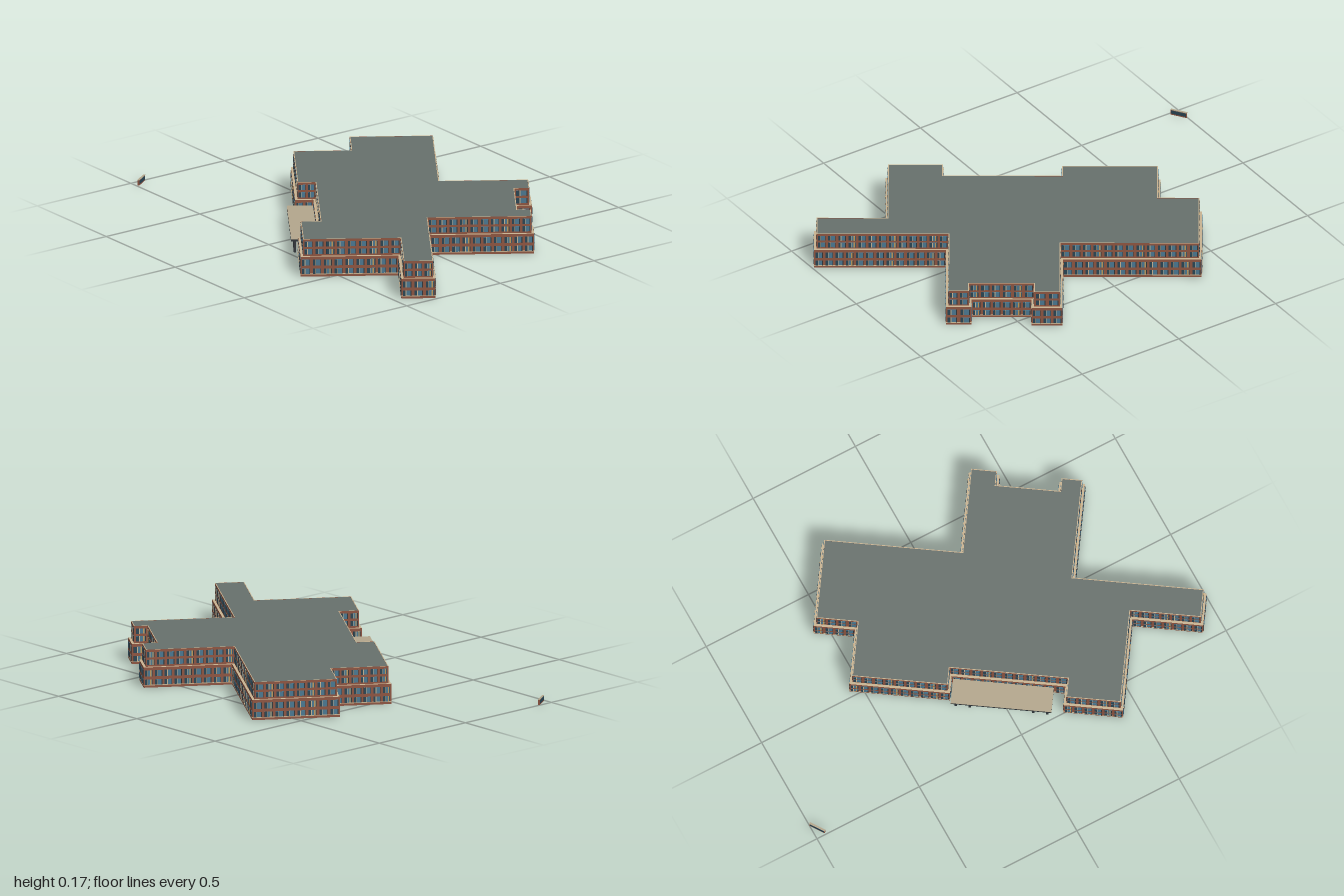
import * as THREE from 'three';
import { mergeGeometries } from 'three/addons/utils/BufferGeometryUtils.js';

const paint = (name, color) => {
  const m = new THREE.MeshStandardMaterial({ color });
  m.name = name;
  return m;
};

export function createModel() {
  const brick = paint('brick', 0x8f5541);
  const sandstone = paint('sandstone', 0xc8b391);
  const glass = paint('glass', 0x4a7891);
  const darkGlass = paint('darkGlass', 0x294453);
  const roofGrey = paint('roofGrey', 0x67706c);
  const canopyTan = paint('canopyTan', 0xb3a68c);
  const darkMetal = paint('darkMetal', 0x30363a);
  const warmShade = paint('warmShade', 0xc09a5c);

  const model = new THREE.Group();
  model.name = 'schoolBuilding';
  // the plan is drawn square, then turned on the site
  const site = new THREE.Group();
  site.name = 'building';
  site.rotation.y = -0.592;
  model.add(site);

  // plan outline, clockwise seen from above
  const plan = [
    [-0.655, -0.342], [-0.058, -0.342], [-0.058, -0.726], [0.075, -0.726],
    [0.075, -0.661], [0.334, -0.661], [0.334, -0.72], [0.444, -0.72],
    [0.444, -0.272], [1.012, -0.272], [1.012, -0.124], [0.706, -0.124],
    [0.706, 0.296], [0.449, 0.296], [0.449, 0.21], [-0.042, 0.21],
    [-0.042, 0.288], [-0.476, 0.288], [-0.476, 0.038], [-0.655, 0.038],
  ];

  const edgeOf = (pts, i) => {
    const a = pts[i], b = pts[(i + 1) % pts.length];
    const len = Math.hypot(b[0] - a[0], b[1] - a[1]);
    const t = [(b[0] - a[0]) / len, (b[1] - a[1]) / len];
    return { a, t, n: [t[1], -t[0]], len };
  };

  const inset = (d) => plan.map((p, i) => {
    const n1 = edgeOf(plan, (i + plan.length - 1) % plan.length).n;
    const n2 = edgeOf(plan, i).n;
    return [p[0] - d * (n1[0] + n2[0]), p[1] - d * (n1[1] + n2[1])];
  });

  const toPath = (pts, Kind) => new Kind(pts.map((p) => new THREE.Vector2(p[0], p[1])));

  // upright prism of the plan, optionally hollow
  function block(name, outer, inner, y0, y1, materials) {
    const shape = toPath(outer, THREE.Shape);
    if (inner) shape.holes.push(toPath(inner, THREE.Path));
    const g = new THREE.ExtrudeGeometry(shape, { depth: y1 - y0, bevelEnabled: false });
    g.rotateX(Math.PI / 2).translate(0, y1, 0);
    const mesh = new THREE.Mesh(g, materials);
    mesh.name = name;
    site.add(mesh);
  }

  function box(name, size, pos, material, parent = site) {
    const mesh = new THREE.Mesh(new THREE.BoxGeometry(...size), material);
    mesh.name = name;
    mesh.position.set(...pos);
    parent.add(mesh);
    return mesh;
  }

  // hollow lower storeys with a ledge, and the set-back upper storeys
  const upperPlan = inset(0.011);
  block('lowerWalls', plan, inset(0.014), 0, 0.09, [sandstone, brick]);
  block('upperWalls', upperPlan, null, 0.083, 0.164, [roofGrey, brick]);
  block('roofEdge', inset(0.0105), inset(0.014), 0.16, 0.166, [sandstone, brick]);
  block('roof', inset(0.0135), null, 0.16, 0.1655, roofGrey);
  // pale lining on the inside of the lower walls
  block('lowerLining', inset(0.0135), inset(0.016), 0.006, 0.04, sandstone);
  block('upperLining', inset(0.0135), inset(0.016), 0.047, 0.082, sandstone);

  // one row of windows around every wall
  function windowRow(name, pts, y0, y1, sill) {
    const parts = new Map([[glass, []], [darkGlass, []], [sandstone, []], [darkMetal, []], [warmShade, []]]);
    pts.forEach((_, i) => {
      const { a, t, n, len } = edgeOf(pts, i);
      const plate = (material, s, w, lo, hi, depth) => {
        const g = new THREE.BoxGeometry(w, hi - lo, depth);
        g.rotateY(Math.atan2(n[0], n[1]));
        g.translate(a[0] + t[0] * s, (lo + hi) / 2, a[1] + t[1] * s);
        parts.get(material).push(g);
      };
      const bays = Math.max(1, Math.round(len / 0.045));
      const w = len / bays;
      for (let k = 0; k < bays; k++) {
        const c = (k + 0.5) * w;
        plate(glass, c, w * 0.74, y0, y1, 0.003);
        plate(darkGlass, c + w * 0.25, w * 0.24, y0, y1, 0.004);
        plate(sandstone, c + w * 0.1, w * 0.06, y0, y1, 0.005);
        plate(darkMetal, c - w * 0.34, w * 0.07, y0, y1, 0.005);
        if ((k + i) % 4 === 1) plate(warmShade, c - w * 0.2, w * 0.13, y0, y1, 0.0045);
      }
      if (sill) plate(sandstone, len / 2, len, y0 - 0.003, y0, 0.004);
    });
    const row = new THREE.Group();
    row.name = name;
    const names = new Map([[glass, 'panes'], [darkGlass, 'openPanes'], [sandstone, 'mullions'],
      [darkMetal, 'frames'], [warmShade, 'blinds']]);
    parts.forEach((list, material) => {
      const mesh = new THREE.Mesh(mergeGeometries(list), material);
      mesh.name = names.get(material);
      row.add(mesh);
    });
    site.add(row);
  }
  windowRow('firstFloorWindows', plan, 0.013, 0.036, true);
  windowRow('secondFloorWindows', plan, 0.05, 0.077, false);
  windowRow('thirdFloorWindows', upperPlan, 0.098, 0.121, false);
  windowRow('fourthFloorWindows', upperPlan, 0.132, 0.155, false);

  // glazed entrance under the canopy
  box('entranceGlass', [0.24, 0.048, 0.008], [0.19, 0.024, 0.211], glass);
  for (let k = 0; k <= 8; k++) {
    box('entranceMullion', [0.004, 0.048, 0.012], [0.07 + k * 0.03, 0.024, 0.211], darkMetal);
  }
  box('entranceHeader', [0.244, 0.004, 0.012], [0.19, 0.05, 0.211], darkMetal);

  // canopy on paired posts
  box('canopyFascia', [0.435, 0.009, 0.112], [0.182, 0.059, 0.268], darkMetal);
  box('canopyTop', [0.435, 0.003, 0.112], [0.182, 0.065, 0.268], canopyTan);
  for (const u of [-0.015, 0.045, 0.32, 0.38]) {
    box('canopyPost', [0.01, 0.056, 0.01], [u, 0.028, 0.307], darkMetal);
  }

  // free-standing sign wall by the approach
  const sign = new THREE.Group();
  sign.name = 'signWall';
  sign.position.set(-0.977, 0, 0.461);
  sign.rotation.y = -0.98;
  model.add(sign);
  box('signBody', [0.074, 0.024, 0.007], [0, 0.012, 0], brick, sign);
  box('signCap', [0.076, 0.002, 0.009], [0, 0.025, 0], canopyTan, sign);
  for (const side of [-1, 1]) {
    box('signPanel', [0.068, 0.016, 0.002], [0, 0.014, side * 0.0035], darkGlass, sign);
  }
  return model;
}
